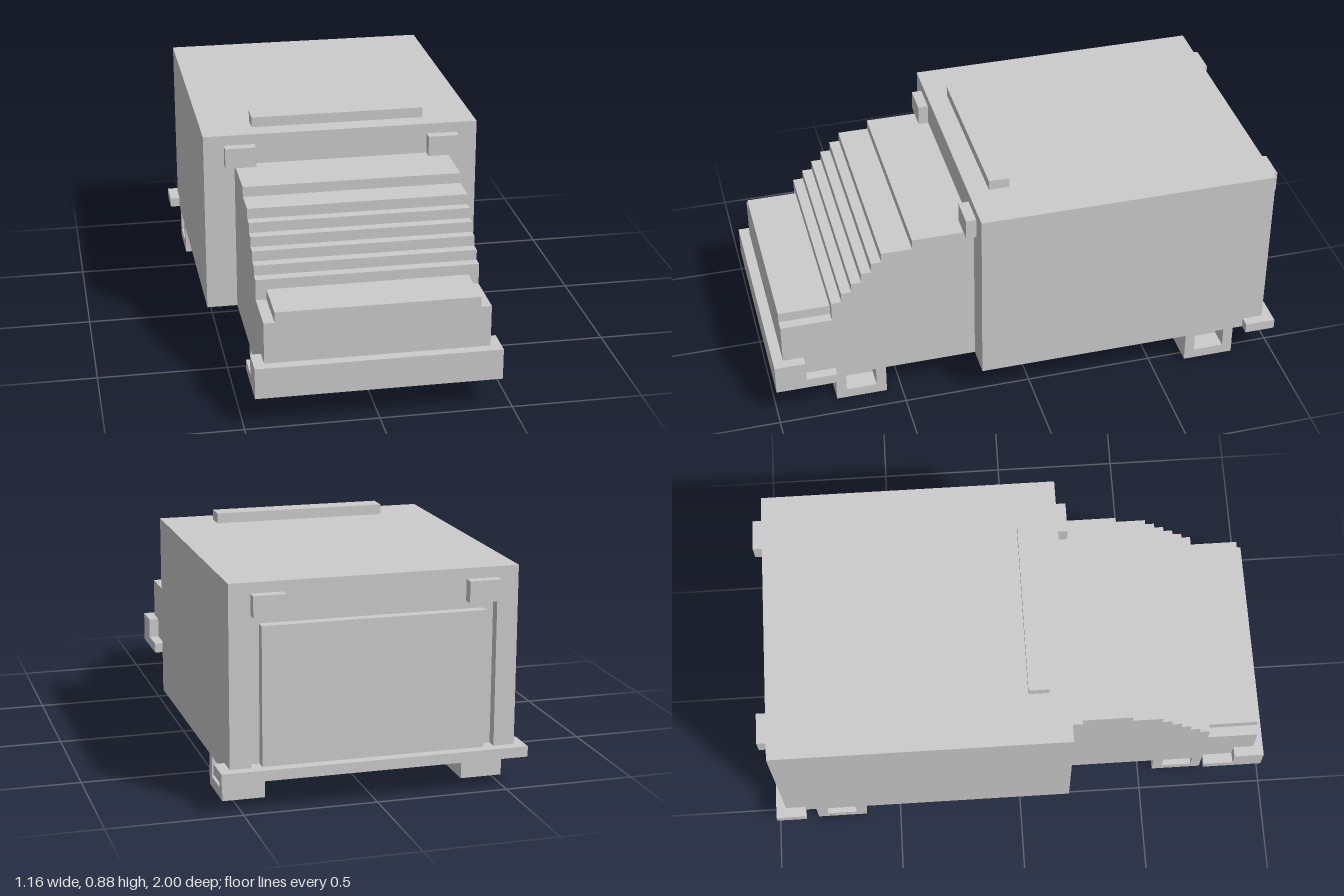
import * as THREE from 'three';

const material = new THREE.MeshStandardMaterial({ color: 0xcccccc, flatShading: true });

export function createModel() {
  const model = new THREE.Group();

  const add = (name, geometry) => {
    const mesh = new THREE.Mesh(geometry, material);
    mesh.name = name;
    model.add(mesh);
    return mesh;
  };

  // box given by its limits on each axis
  const box = (name, x0, x1, y0, y1, z0, z1) =>
    add(name, new THREE.BoxGeometry(x1 - x0, y1 - y0, z1 - z0)
      .translate((x0 + x1) / 2, (y0 + y1) / 2, (z0 + z1) / 2));

  const extrude = (points, depth) => new THREE.ExtrudeGeometry(
    new THREE.Shape(points.map(([a, b]) => new THREE.Vector2(a, b))),
    { depth, bevelEnabled: false });

  // side profile of (z, y) points, extruded between two x limits
  const sideProfile = (name, points, x0, x1) =>
    add(name, extrude(points, x1 - x0).rotateY(-Math.PI / 2).translate(x1, 0, 0));

  // cargo box with a framed opening at the rear
  box('cargoBox', -0.54, 0.54, 0.12, 0.84, -0.92, 0.2);
  add('rearFrame', extrude([
    [-0.54, 0.12], [-0.46, 0.12], [-0.46, 0.72], [0.46, 0.72],
    [0.46, 0.12], [0.54, 0.12], [0.54, 0.84], [-0.54, 0.84],
  ], 0.04).translate(0, 0, -0.96));
  box('rearDoor', -0.42, 0.42, 0.12, 0.68, -0.96, -0.92);
  box('roofBar', -0.34, 0.34, 0.84, 0.88, 0.04, 0.12);

  // cab with a stepped windscreen
  const cab = [[0.2, 0.12], [0.96, 0.12], [0.96, 0.4], [0.76, 0.4]];
  for (let i = 0; i < 6; i++) {
    const z = 0.76 - i * 0.04, y = 0.48 + i * 0.04;
    cab.push([z, y], [i < 5 ? z - 0.04 : 0.44, y]);
  }
  cab.push([0.44, 0.72], [0.2, 0.72]);
  sideProfile('cab', cab, -0.42, 0.42);
  box('hoodTop', -0.38, 0.38, 0.4, 0.44, 0.76, 0.96);

  // bumpers
  sideProfile('frontBumper', [
    [0.76, 0.12], [1, 0.12], [1, 0.24], [0.88, 0.24], [0.88, 0.16], [0.76, 0.16],
  ], -0.46, 0.46);
  box('rearBumper', -0.58, 0.58, 0.12, 0.16, -1, -0.88);

  // wheel block with a square hub recess on its outer face
  const wheel = (name, side, outer, z) => {
    const span = (a, b) => [Math.min(side * a, side * b), Math.max(side * a, side * b)];
    box(name + 'Core', ...span(outer - 0.16, outer - 0.08), 0, 0.12, z - 0.1, z + 0.1);
    sideProfile(name + 'Rim', [
      [z - 0.1, 0], [z + 0.1, 0], [z + 0.1, 0.12], [z + 0.06, 0.12],
      [z + 0.06, 0.04], [z - 0.06, 0.04], [z - 0.06, 0.12], [z - 0.1, 0.12],
    ], ...span(outer - 0.08, outer));
  };

  // paired parts
  for (const side of [-1, 1]) {
    const label = side > 0 ? 'left' : 'right';
    const x0 = side > 0 ? 0.34 : -0.46;
    box(label + 'FrontMarkerLamp', x0, x0 + 0.12, 0.72, 0.8, 0.2, 0.24);
    box(label + 'RearMarkerLamp', x0, x0 + 0.12, 0.72, 0.8, -1, -0.96);
    wheel(label + 'FrontWheel', side, 0.42, 0.66);
    wheel(label + 'RearWheel', side, 0.54, -0.74);
  }

  return model;
}
